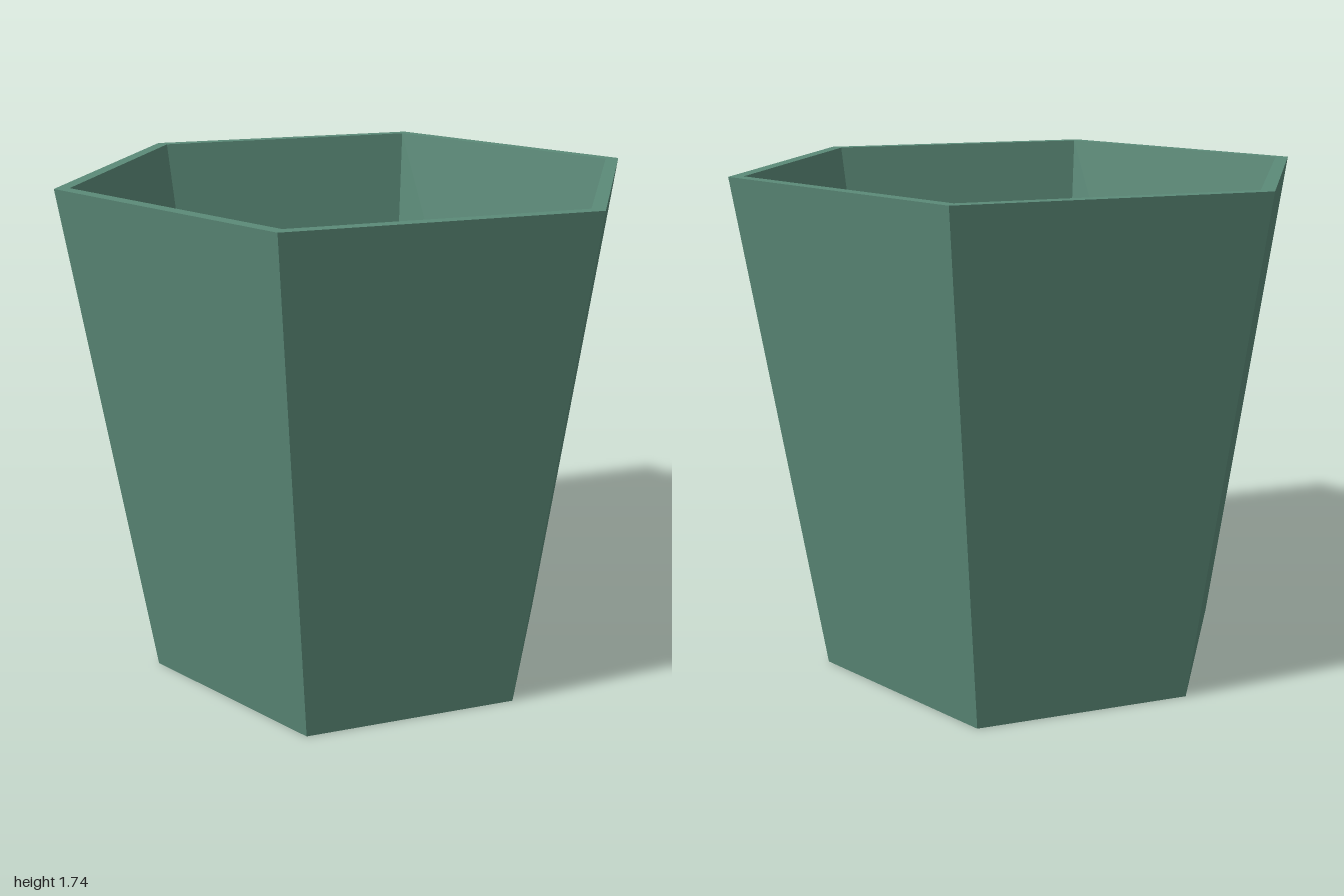
import * as THREE from 'three';

const HEIGHT = 1.74, FLOOR = 0.05, HOLE = 0.09;
const BASE_R = 0.74, FLOOR_R = 0.697, RIM_R = 1, RIM_INNER_R = 0.95;

// Revolve a profile of [radius, y] pairs
function lathe(profile, sides) {
  return new THREE.LatheGeometry(profile.map(([r, y]) => new THREE.Vector2(r, y)), sides);
}

// Hexagonal plate with a round drain hole, facing up or down
function holedHexagon(radius, y, up) {
  const corners = [];
  for (let i = 0; i < 6; i++) {
    const a = (i * Math.PI) / 3;
    corners.push(new THREE.Vector2(Math.sin(a) * radius, Math.cos(a) * radius));
  }
  const shape = new THREE.Shape(corners);
  shape.holes.push(new THREE.Path().absarc(0, 0, HOLE, 0, Math.PI * 2, true));
  return new THREE.ShapeGeometry(shape, 32)
    .rotateX(up ? -Math.PI / 2 : Math.PI / 2)
    .translate(0, y, 0);
}

export function createModel() {
  const model = new THREE.Group();
  model.name = 'planter';
  const green = new THREE.MeshStandardMaterial({ color: 0x5b8a78 });
  green.name = 'sage green';

  const add = (name, geometry) => {
    const mesh = new THREE.Mesh(geometry, green);
    mesh.name = name;
    model.add(mesh);
  };

  // Tapered six-sided wall: outside, rim and inside, with faceted normals
  const wall = lathe(
    [[BASE_R, 0], [RIM_R, HEIGHT], [RIM_INNER_R, HEIGHT], [FLOOR_R, FLOOR]], 6
  ).toNonIndexed();
  wall.computeVertexNormals();
  add('wall', wall);

  // Floor and underside
  add('floor', holedHexagon(FLOOR_R, FLOOR, true));
  add('underside', holedHexagon(BASE_R, 0, false));

  // Inward-facing side of the drain hole
  add('drainHole', lathe([[HOLE, FLOOR], [HOLE, 0]], 64));

  return model;
}
